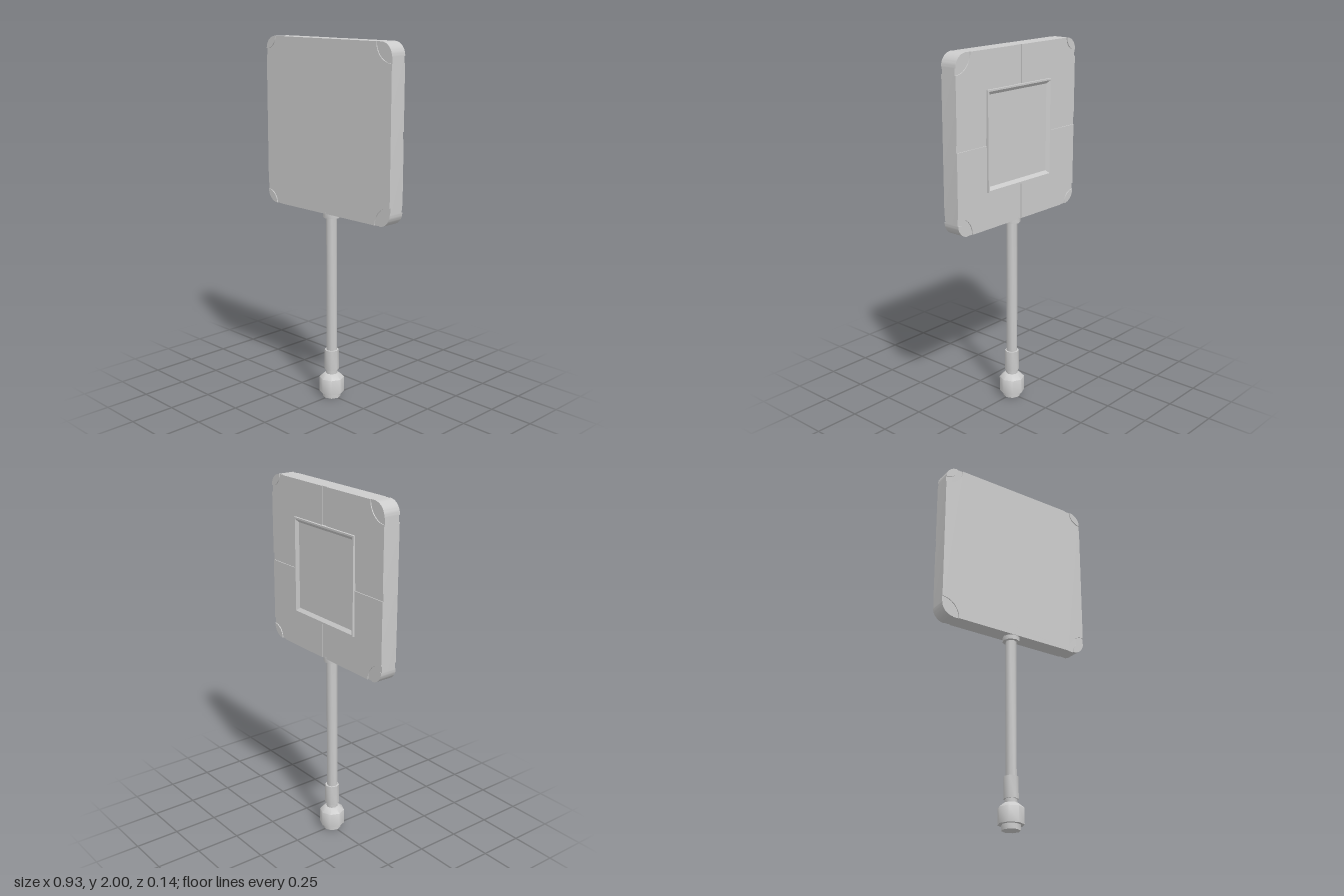
import * as THREE from 'three';
import { toCreasedNormals } from 'three/addons/utils/BufferGeometryUtils.js';

const HALF = 0.465, CY = 1.535;          // panel half size and centre height
const CORNER = 0.07, CUT = 0.105;        // corner radius, outer radius of corner groove
const BACK = -0.05, FRONT = 0.047, SKIN = 0.005;
const PW = 0.25, PH = 0.265, GAP = 0.02; // rear tray half sizes, half groove width

const grey = new THREE.MeshStandardMaterial({ color: 0xcccccc });
const facet = new THREE.MeshStandardMaterial({ color: 0xcccccc, flatShading: true, side: THREE.DoubleSide });

function add(parent, name, geometry, material = grey) {
  const mesh = new THREE.Mesh(geometry, material);
  mesh.name = name;
  parent.add(mesh);
  return mesh;
}

function extrude(shape, z, depth) {
  const g = new THREE.ExtrudeGeometry(shape, { depth, bevelEnabled: false, curveSegments: 8 });
  return toCreasedNormals(g.translate(0, 0, z), 0.6);
}

// Square whose corners are rounded outward, or scooped inward
function squareShape(r, scooped) {
  const s = new THREE.Shape();
  const a = HALF - r, P = Math.PI;
  for (let i = 0; i < 4; i++) {
    const t = i * P / 2;
    const sx = i === 0 || i === 3 ? 1 : -1, sy = i < 2 ? 1 : -1;
    if (scooped) s.absarc(sx * HALF, sy * HALF, r, t - P / 2, t - P, true);
    else s.absarc(sx * a, sy * a, r, t, t + P / 2, false);
  }
  return s;
}

// Lens-shaped land left standing outside the corner groove
function cornerShape() {
  const s = new THREE.Shape(), a = HALF - CORNER;
  s.absarc(a, a, CORNER, 0, Math.PI / 2, false);
  s.absarc(HALF, HALF, CORNER, Math.PI, Math.PI * 1.5, false);
  return s;
}

// One quarter of the back skin, clear of the tray and the cross grooves
function quarterShape() {
  const s = new THREE.Shape();
  s.moveTo(PW, GAP);
  s.lineTo(HALF, GAP);
  s.absarc(HALF, HALF, CUT, Math.PI * 1.5, Math.PI, true);
  s.lineTo(GAP, HALF);
  s.lineTo(GAP, PH);
  s.lineTo(PW, PH);
  return s;
}

function lathe(points, segments) {
  return new THREE.LatheGeometry(points.map(p => new THREE.Vector2(...p)), segments);
}

export function createModel() {
  const model = new THREE.Group();
  model.name = 'panelAntenna';

  const panel = new THREE.Group();
  panel.name = 'panel';
  panel.position.y = CY;
  model.add(panel);

  // Core slab and the thin raised front skin
  add(panel, 'panelCore', extrude(squareShape(CORNER, false), BACK + SKIN, FRONT - BACK - 2 * SKIN));
  add(panel, 'frontSkin', extrude(squareShape(CUT, true), FRONT - SKIN, SKIN));

  // Corner lands on both faces, and the four back quarters
  for (let i = 0; i < 4; i++) {
    const turn = i * Math.PI / 2;
    for (const z of [FRONT - SKIN, BACK]) {
      add(panel, 'cornerLand', extrude(cornerShape(), z, SKIN)).rotation.z = turn;
    }
    const shape = quarterShape();
    const sx = i === 0 || i === 3 ? 1 : -1, sy = i < 2 ? 1 : -1;
    const pts = shape.getPoints(8).map(p => new THREE.Vector2(p.x * sx, p.y * sy));
    add(panel, 'backQuarter', extrude(new THREE.Shape(pts), BACK, SKIN));
  }

  // Square tray with a raised rim on the back
  const tray = lathe([[1, 0], [1, 0.017], [0.965, 0.017], [0.9, 0.002], [0, 0.002]], 4);
  tray.rotateY(Math.PI / 4).rotateX(-Math.PI / 2);
  tray.scale(PW * Math.SQRT2, PH * Math.SQRT2, 1).translate(0, 0, BACK + SKIN);
  add(panel, 'rearTray', tray, facet);

  // Eight-sided cable and its fittings, each a turned profile
  const turned = {
    connectorTip: [[0, 0], [0.05, 0], [0.05, 0.035]],
    connectorNut: [[0, 0.03], [0.07, 0.03], [0.07, 0.115], [0.04, 0.14], [0, 0.14]],
    connectorNeck: [[0.033, 0.135], [0.033, 0.17]],
    ferrule: [[0, 0.162], [0.04, 0.162], [0.04, 0.28], [0, 0.28]],
    cable: [[0.03, 0.27], [0.03, 1.06]],
    cableCollar: [[0, 1.045], [0.048, 1.045], [0.048, 1.08]],
  };
  for (const [name, profile] of Object.entries(turned)) {
    add(model, name, toCreasedNormals(lathe(profile, 8), 0.85));
  }
  return model;
}
